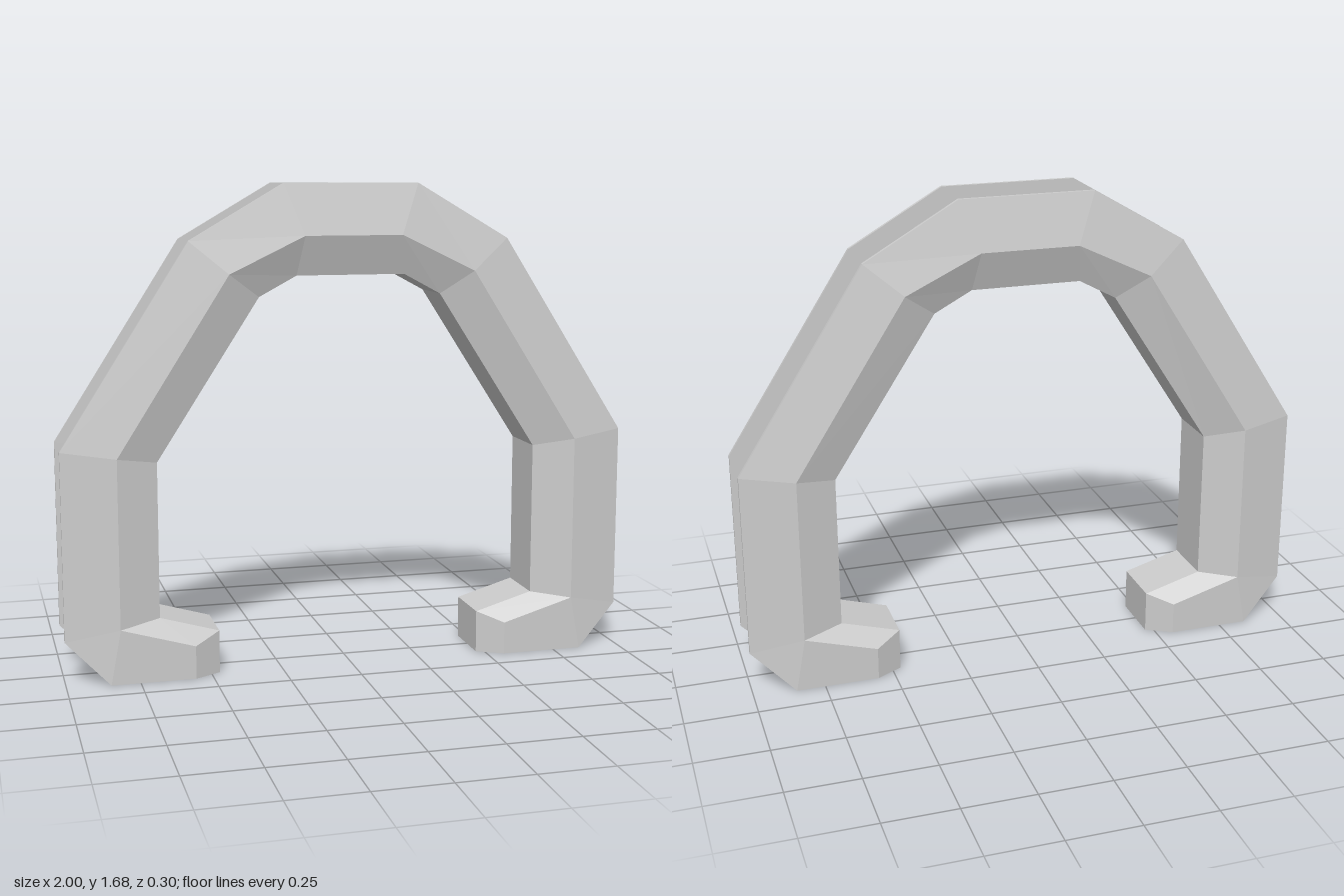
import * as THREE from 'three';

// Half of the arch (left half), from foot tip to crown. Each section gives
// inner edge [x, y], ridge [x, y], outer edge [x, y, z].
const HALF = [
  { inner: [0.47, 0.15], ridge: [0.56, 0.115], outer: [0.56, 0, 0.15], back: [0.47, 0] },
  { inner: [0.675, 0.21], ridge: [0.815, 0.19], outer: [0.85, 0, 0.15] },
  { inner: [0.675, 0.21], ridge: [0.815, 0.19], outer: [1, 0.15, 0.113] },
  { inner: [0.675, 0.75], ridge: [0.815, 0.775], outer: [1, 0.8, 0.113] },
  { inner: [0.32, 1.3], ridge: [0.43, 1.38], outer: [0.56, 1.49, 0.113] },
  { inner: [0.19, 1.37], ridge: [0.17, 1.505], outer: [0.235, 1.68, 0.113] },
];
const GAP = 0.1; // half width of the channel
const RIDGE = 0.15; // half width at the ridge

// Corner points of one section: inner, ridge, outer, outer back
function corners(s, mirror, side) {
  const back = s.back || s.outer;
  return [
    [...s.inner, GAP],
    [...s.ridge, RIDGE],
    s.outer,
    [back[0], back[1], GAP],
  ].map(([x, y, z]) => [x * mirror, y, z * side]);
}

// Full path of sections, left foot over the crown to the right foot
function sections(side) {
  return [
    ...HALF.map((s) => corners(s, 1, side)),
    ...[...HALF].reverse().map((s) => corners(s, -1, side)),
  ];
}

function meshFromQuads(quads, name, material) {
  const pos = [];
  for (const [a, b, c, d] of quads) pos.push(...a, ...b, ...c, ...a, ...c, ...d);
  const geometry = new THREE.BufferGeometry();
  geometry.setAttribute('position', new THREE.Float32BufferAttribute(pos, 3));
  geometry.computeVertexNormals();
  const mesh = new THREE.Mesh(geometry, material);
  mesh.name = name;
  return mesh;
}

// Solid bevelled flange on one side of the channel
function makeFlange(side, name, material) {
  const path = sections(side);
  const quads = [];
  for (let i = 0; i < path.length - 1; i++) {
    for (let k = 0; k < 4; k++) {
      const n = (k + 1) % 4;
      quads.push([path[i][k], path[i][n], path[i + 1][n], path[i + 1][k]]);
    }
  }
  quads.push([...path[0]].reverse(), path[path.length - 1]);
  if (side < 0) quads.forEach((q) => q.reverse());
  return meshFromQuads(quads, name, material);
}

// Thin inner wall joining the flanges, folded down at each foot tip
function makeWall(material) {
  const line = sections(1).map((c) => c[0]);
  line.unshift([0.47, 0, GAP]);
  line.push([-0.47, 0, GAP]);
  const flip = ([x, y, z]) => [x, y, -z];
  const quads = [];
  for (let i = 0; i < line.length - 1; i++) {
    const [a, b] = [line[i], line[i + 1]];
    if (a[0] === b[0] && a[1] === b[1]) continue;
    quads.push([a, b, flip(b), flip(a)]);
  }
  return meshFromQuads(quads, 'innerWall', material);
}

export function createModel() {
  const material = new THREE.MeshStandardMaterial({
    color: 0xcccccc, flatShading: true, side: THREE.DoubleSide,
  });
  const group = new THREE.Group();
  group.name = 'channelledArch';
  group.add(
    makeFlange(1, 'frontFlange', material),
    makeFlange(-1, 'backFlange', material),
    makeWall(material),
  );
  return group;
}
